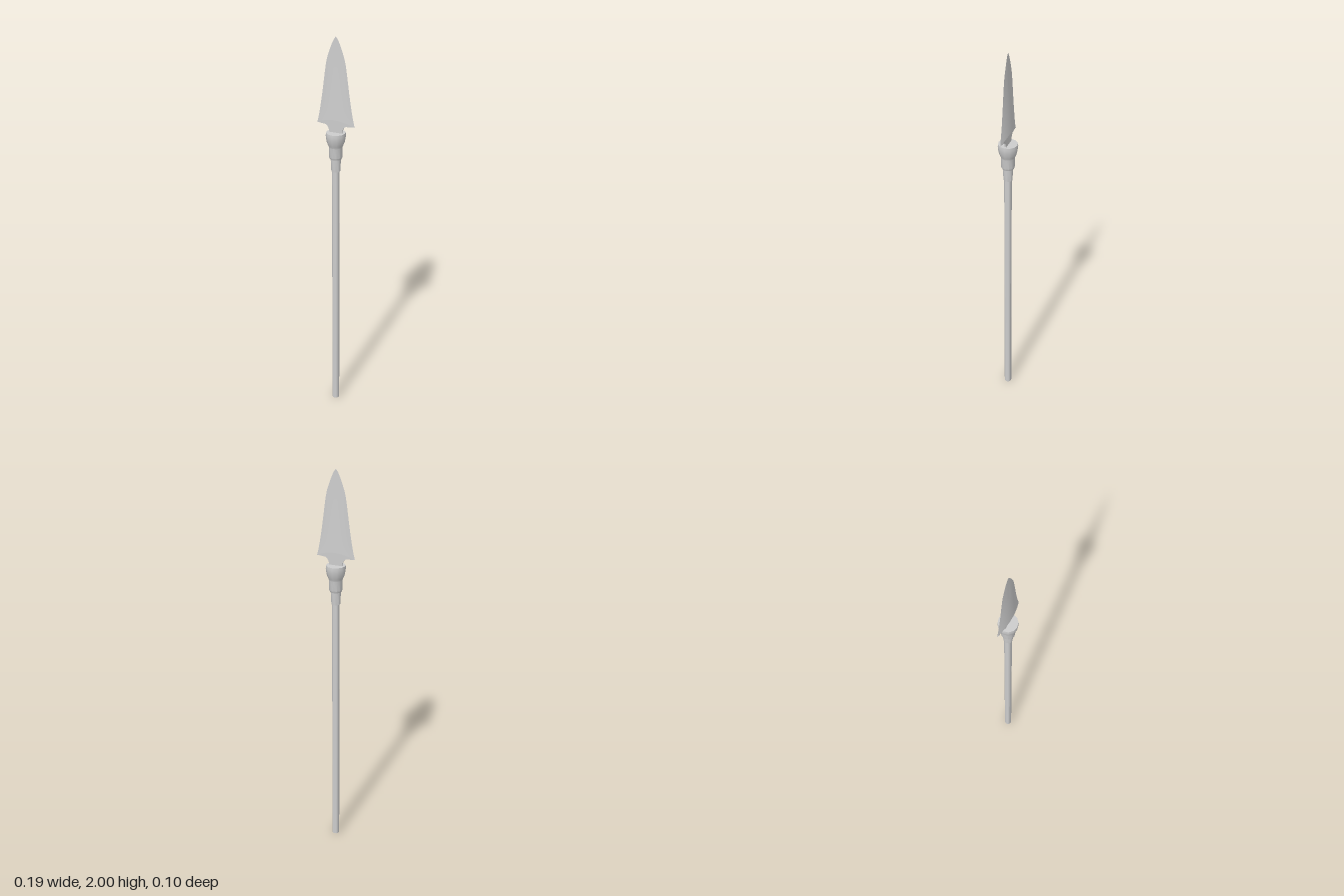
import * as THREE from 'three';
import { toCreasedNormals, mergeVertices } from 'three/addons/utils/BufferGeometryUtils.js';

const material = new THREE.MeshStandardMaterial({ color: 0xcccccc });
const SIDES = 12;

function addPart(group, name, geometry, crease = 0.6) {
  const mesh = new THREE.Mesh(toCreasedNormals(geometry, crease), material);
  mesh.name = name;
  group.add(mesh);
}

function lathe(profile) {
  return new THREE.LatheGeometry(profile.map(([r, y]) => new THREE.Vector2(r, y)), SIDES);
}

// Lens-shaped cross-sections stacked from the arched base to the tip
function bladeGeometry() {
  const rows = 20, across = 12, ring = across * 2;
  const outline = new THREE.SplineCurve([
    [0.097, 0], [0.085, 0.125], [0.069, 0.36], [0.05, 0.69], [0.034, 0.83], [0.014, 0.95], [0, 1],
  ].map(([w, v]) => new THREE.Vector2(w, v)));
  const positions = [], indices = [];
  for (let j = 0; j <= rows; j++) {
    const { x: width, y: v } = outline.getPoint(j / rows);
    const thickness = 0.019 * Math.pow(1 - v, 1.25);
    for (let i = 0; i < ring; i++) {
      const front = i < across;
      const u = front ? -1 + (2 * i) / across : 1 - (2 * (i - across)) / across;
      const base = 1.605 - 0.03 * u * u;
      positions.push(width * u, base + (2 - base) * v, (front ? 1 : -1) * thickness * (1 - u * u));
    }
  }
  for (let j = 0; j < rows; j++) {
    for (let i = 0; i < ring; i++) {
      const a = j * ring + i, b = j * ring + ((i + 1) % ring);
      indices.push(a, b, b + ring);
      if (j < rows - 1) indices.push(a, b + ring, a + ring);
    }
  }
  // Underside joins the front and back edges
  for (let i = 0; i < across; i++) {
    const backA = (ring - i) % ring, backB = ring - i - 1;
    if (i < across - 1) indices.push(i, backB, i + 1);
    if (i > 0) indices.push(i, backA, backB);
  }
  const geometry = new THREE.BufferGeometry();
  geometry.setAttribute('position', new THREE.Float32BufferAttribute(positions, 3));
  geometry.setIndex(indices);
  return mergeVertices(geometry);
}

// Thin plate that flares from the socket into the barbs
function tangGeometry() {
  const depth = 0.008;
  const shape = new THREE.Shape();
  shape.moveTo(-0.033, 1.5);
  shape.lineTo(0.033, 1.5);
  shape.lineTo(0.033, 1.54);
  shape.quadraticCurveTo(0.036, 1.565, 0.052, 1.574);
  shape.lineTo(0.092, 1.578);
  shape.quadraticCurveTo(0, 1.64, -0.092, 1.578);
  shape.lineTo(-0.052, 1.574);
  shape.quadraticCurveTo(-0.036, 1.565, -0.033, 1.54);
  shape.closePath();
  return new THREE.ExtrudeGeometry(shape, { depth, bevelEnabled: false, curveSegments: 8 })
    .translate(0, 0, -depth / 2);
}

export function createModel() {
  const spear = new THREE.Group();
  spear.name = 'spear';

  addPart(spear, 'shaft', new THREE.CylinderGeometry(0.0185, 0.0185, 1.36, SIDES).translate(0, 0.68, 0));

  // Narrow sleeve around the top of the shaft
  addPart(spear, 'sleeve', lathe([
    [0, 1.34], [0.022, 1.34], [0.025, 1.405], [0.025, 1.42], [0, 1.42],
  ]));

  // Cup-shaped socket holding the blade
  addPart(spear, 'socket', lathe([
    [0, 1.405], [0.029, 1.405], [0.033, 1.415], [0.033, 1.465], [0.037, 1.475],
    [0.043, 1.49], [0.047, 1.51], [0.0485, 1.525], [0.047, 1.538], [0, 1.538],
  ]));

  addPart(spear, 'tang', tangGeometry());
  addPart(spear, 'blade', bladeGeometry());

  return spear;
}
